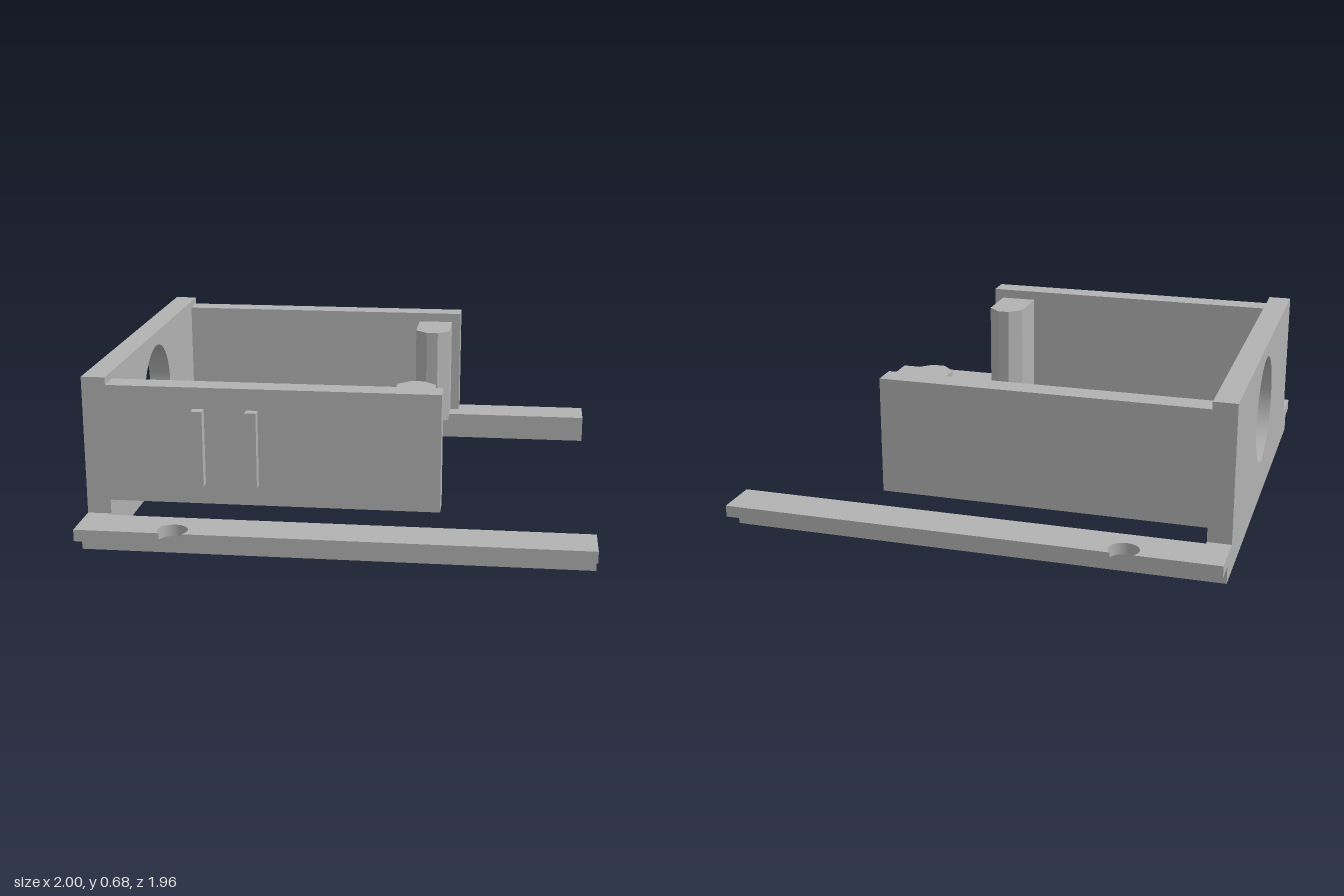
import * as THREE from 'three';

export function createModel() {
  const model = new THREE.Group();
  model.name = 'bracketFrame';
  const grey = new THREE.MeshStandardMaterial({ color: 0xb2b2b2 });
  grey.name = 'plain grey';

  const add = (name, geometry) => {
    const mesh = new THREE.Mesh(geometry, grey);
    mesh.name = name;
    model.add(mesh);
  };

  // Box given by its low and high limits on each axis
  const box = (name, x0, x1, y0, y1, z0, z1) => {
    const g = new THREE.BoxGeometry(x1 - x0, y1 - y0, Math.abs(z1 - z0));
    add(name, g.translate((x0 + x1) / 2, (y0 + y1) / 2, (z0 + z1) / 2));
  };

  // Plan outline in (x, z), extruded upwards from y0 to y1
  const plan = (name, shape, y0, y1) => {
    const g = new THREE.ExtrudeGeometry(shape, { depth: y1 - y0, bevelEnabled: false, curveSegments: 40 });
    add(name, g.rotateX(Math.PI / 2).translate(0, y1, 0));
  };

  // End wall with a round opening and a slightly wider foot
  const half = [[0.8, 0], [0.8, 0.117], [0.785, 0.117], [0.785, 0.675]];
  const outline = [...half, ...half.map(([z, y]) => [-z, y]).reverse()];
  const wall = new THREE.Shape(outline.map(([z, y]) => new THREE.Vector2(z, y)));
  wall.holes.push(new THREE.Path().absarc(0, 0.393, 0.223, 0, Math.PI * 2, true));
  const wallGeometry = new THREE.ExtrudeGeometry(wall, { depth: 0.095, bevelEnabled: false, curveSegments: 64 });
  add('endWall', wallGeometry.rotateY(-Math.PI / 2).translate(-0.905, 0, 0));

  for (const s of [1, -1]) {
    const side = s > 0 ? 'front' : 'back';

    // Side arm
    box(side + 'Arm', -0.905, 0.4, 0.175, 0.645, s * 0.685, s * 0.785);

    // Chamfered post on the inside of the arm
    const post = [[0.205, 0.685], [0.205, 0.488], [0.257, 0.437], [0.308, 0.437], [0.36, 0.488], [0.36, 0.685]];
    plan(side + 'Post', new THREE.Shape(post.map(([x, z]) => new THREE.Vector2(x, s * z))), 0.178, 0.605);

    // Rail: a leg under a flange that has a round notch in its outer edge
    box(side + 'RailLeg', -1, 1, 0, 0.07, s * 0.8, s * 0.88);
    const a = Math.asin(0.04 / 0.06);
    const flange = new THREE.Shape();
    flange.moveTo(1, s * 0.98);
    flange.lineTo(1, s * 0.8);
    flange.lineTo(-1, s * 0.8);
    flange.lineTo(-1, s * 0.98);
    flange.absarc(-0.62, s * 0.94, 0.06, s * (Math.PI - a), s * (Math.PI * 2 + a), s < 0);
    flange.closePath();
    plan(side + 'RailFlange', flange, 0.07, 0.117);
  }

  // Two upright ribs on the outside of the front arm
  for (const x of [-0.54, -0.33]) box('rib', x - 0.022, x + 0.022, 0.257, 0.56, 0.785, 0.825);

  return model;
}
